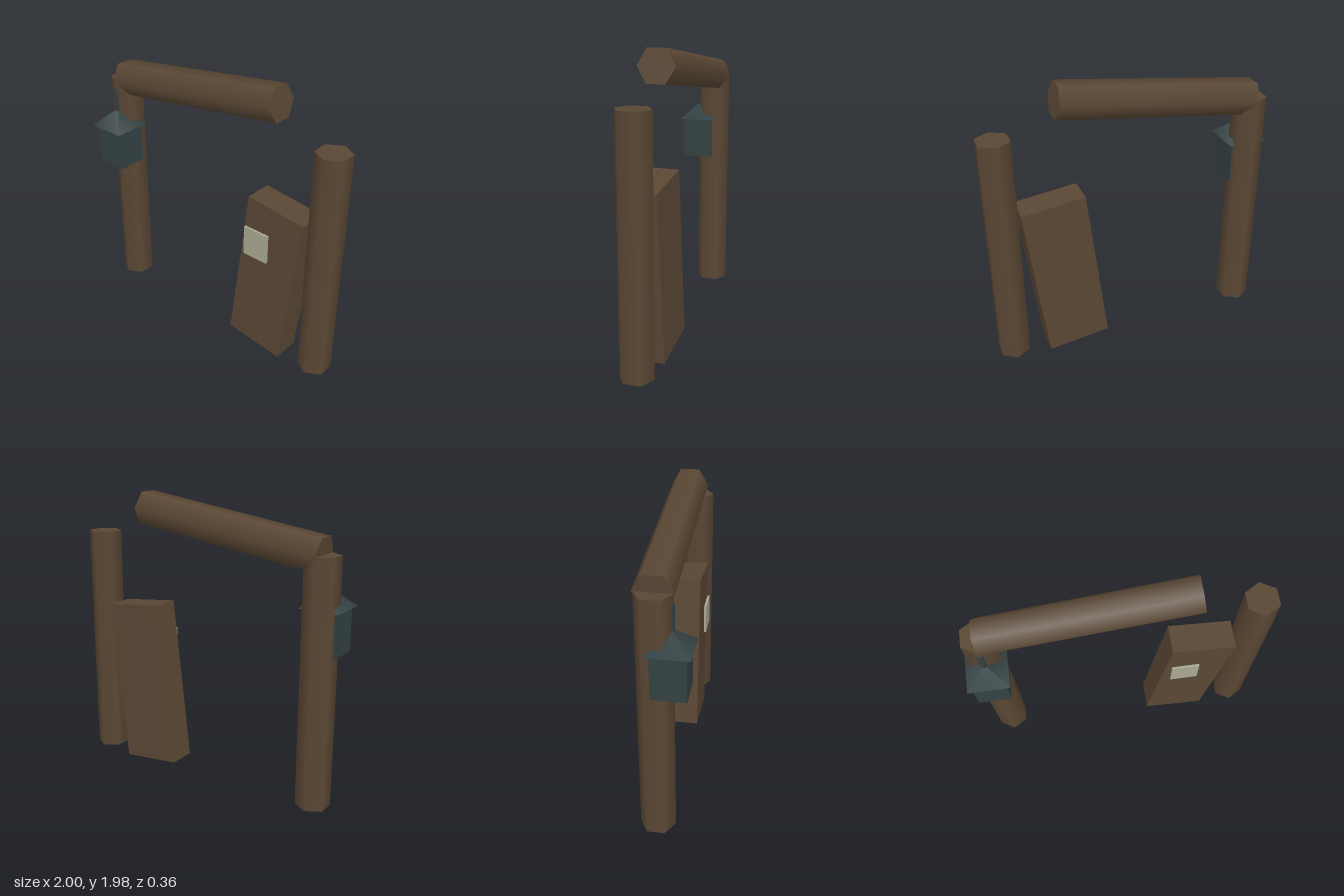
import * as THREE from 'three';

const wood = new THREE.MeshStandardMaterial({ color: 0x5a4734 });
wood.name = 'brown wood';
const iron = new THREE.MeshStandardMaterial({ color: 0x334142 });
iron.name = 'dark teal iron';
const paper = new THREE.MeshStandardMaterial({ color: 0xa9a792 });
paper.name = 'pale paper';

const DEPTH = -0.055; // z of the timber frame

export function createModel() {
  const model = new THREE.Group();
  model.name = 'brokenGateway';

  const add = (name, geometry, material, x, y, z, parent = model) => {
    const mesh = new THREE.Mesh(geometry, material);
    mesh.name = name;
    mesh.position.set(x, y, z);
    parent.add(mesh);
    return mesh;
  };
  // Six-sided, smooth-shaded log
  const log = (radius, length) => new THREE.CylinderGeometry(radius, radius, length, 6);

  // Upright posts
  add('rightPost', log(0.116, 1.66), wood, -0.862, 0.86, DEPTH);
  add('leftPost', log(0.116, 1.66), wood, 0.899, 0.86, DEPTH);

  // Fallen lintel, resting on one post
  const beam = add('beam', log(0.125, 1.384), wood, -0.18, 1.788, DEPTH);
  beam.rotation.z = 0.141 - Math.PI / 2;

  // Leaning door slab and the notice in front of it
  const door = add('door', new THREE.BoxGeometry(0.438, 1.17, 0.195), wood, 0.505, 0.614, DEPTH);
  door.rotation.z = -0.115;
  add('notice', new THREE.BoxGeometry(0.19, 0.212, 0.016), paper, 0.453, 0.905, 0.079);

  // Hanging lantern: body, pyramid roof and rod
  const lantern = new THREE.Group();
  lantern.name = 'lantern';
  lantern.position.set(-0.863, 0, 0.042);
  model.add(lantern);
  add('lanternBody', new THREE.BoxGeometry(0.22, 0.295, 0.22), iron, 0, 1.203, 0, lantern);
  const roof = add('lanternRoof', new THREE.ConeGeometry(0.137 * Math.SQRT2, 0.13, 4), iron, 0, 1.413, 0, lantern);
  roof.rotation.y = Math.PI / 4;
  add('lanternRod', log(0.024, 0.2), iron, 0, 1.53, 0, lantern);

  return model;
}
